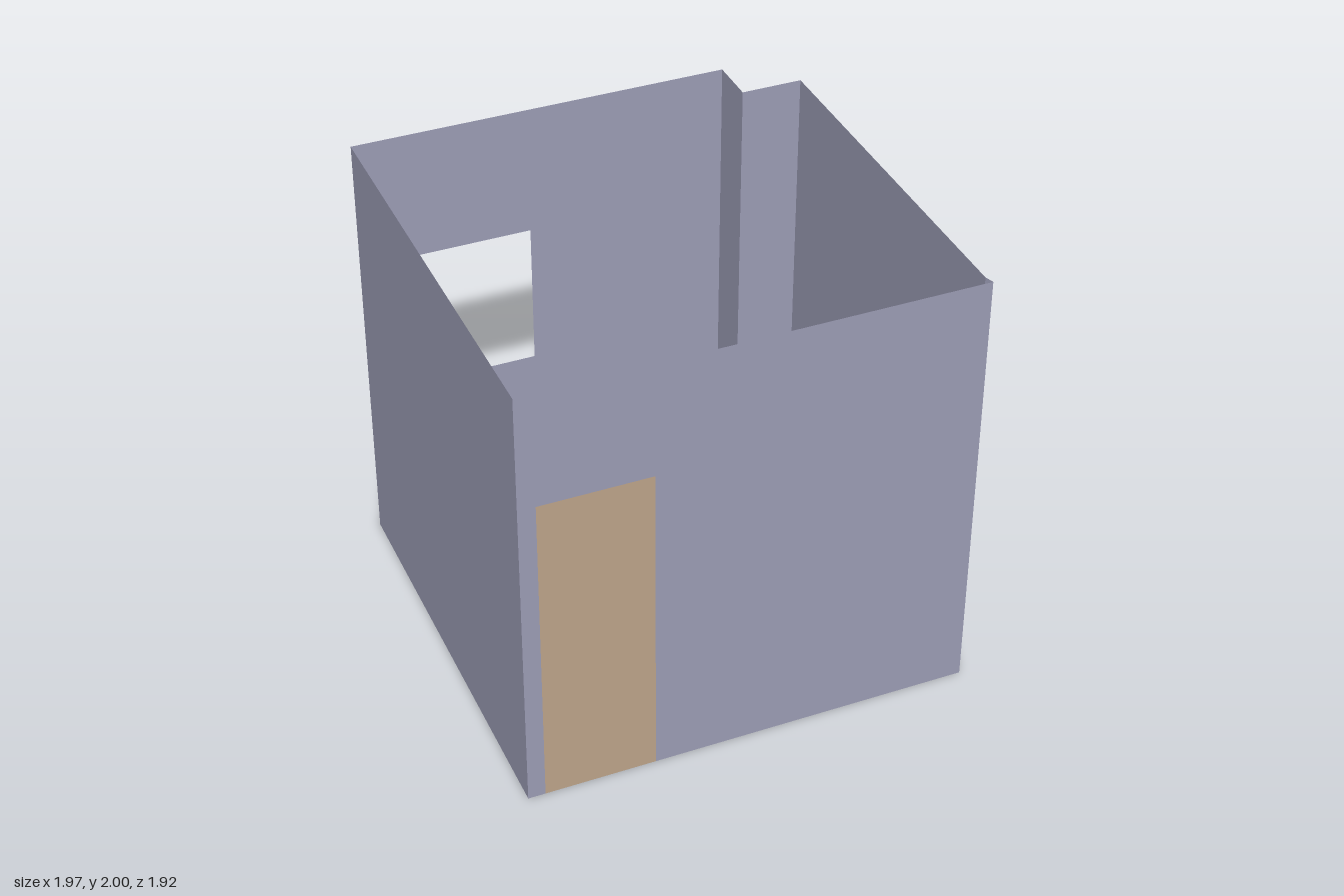
import * as THREE from 'three';

const HEIGHT = 2;

// Room outline in (x, z), walked so that each wall faces outwards
const OUTLINE = [
  { name: 'frontWall', at: [-0.983, 0.962], opening: { x0: 0.075, x1: 0.56, y0: 0, y1: 1.48 } }, // doorway
  { name: 'frontCornerSliver', at: [0.983, 0.962] },
  { name: 'leftWall', at: [0.97, 0.923] },
  { name: 'notchBackWall', at: [0.97, -0.745] },
  { name: 'notchSideWall', at: [0.698, -0.745] },
  { name: 'backWall', at: [0.698, -0.962], opening: { x0: 0.905, x1: 1.582, y0: 0.73, y1: 1.4 } }, // window
  { name: 'rightWall', at: [-0.983, -0.962] },
];

const polygon = (points) => points.map(([x, y]) => new THREE.Vector2(x, y));

// Flat wall panel with an optional doorway (touching the floor) or window
function wallShape(length, opening) {
  if (!opening) return new THREE.Shape(polygon([[0, 0], [length, 0], [length, HEIGHT], [0, HEIGHT]]));
  const { x0, x1, y0, y1 } = opening;
  if (y0 === 0) {
    return new THREE.Shape(polygon([
      [0, 0], [x0, 0], [x0, y1], [x1, y1], [x1, 0], [length, 0], [length, HEIGHT], [0, HEIGHT],
    ]));
  }
  const shape = wallShape(length);
  shape.holes.push(new THREE.Path(polygon([[x0, y0], [x0, y1], [x1, y1], [x1, y0]])));
  return shape;
}

export function createModel() {
  const room = new THREE.Group();
  room.name = 'room';

  const wallPaint = new THREE.MeshStandardMaterial({ color: 0x9d9eb7, side: THREE.DoubleSide });
  wallPaint.name = 'wall grey';
  const floorWood = new THREE.MeshStandardMaterial({ color: 0xaa937b, side: THREE.DoubleSide });
  floorWood.name = 'floor brown';

  // Walls, one panel per outline edge
  OUTLINE.forEach(({ name, at: [x, z], opening }, i) => {
    const [nx, nz] = OUTLINE[(i + 1) % OUTLINE.length].at;
    const shape = wallShape(Math.hypot(nx - x, nz - z), opening);
    const wall = new THREE.Mesh(new THREE.ShapeGeometry(shape), wallPaint);
    wall.name = name;
    wall.position.set(x, 0, z);
    wall.rotation.y = -Math.atan2(nz - z, nx - x);
    room.add(wall);
  });

  // Floor; mirrored in z so that its front side faces up
  const floorShape = new THREE.Shape(polygon(OUTLINE.map(({ at: [x, z] }) => [x, -z])));
  const floor = new THREE.Mesh(new THREE.ShapeGeometry(floorShape).rotateX(-Math.PI / 2), floorWood);
  floor.name = 'floor';
  room.add(floor);

  return room;
}
